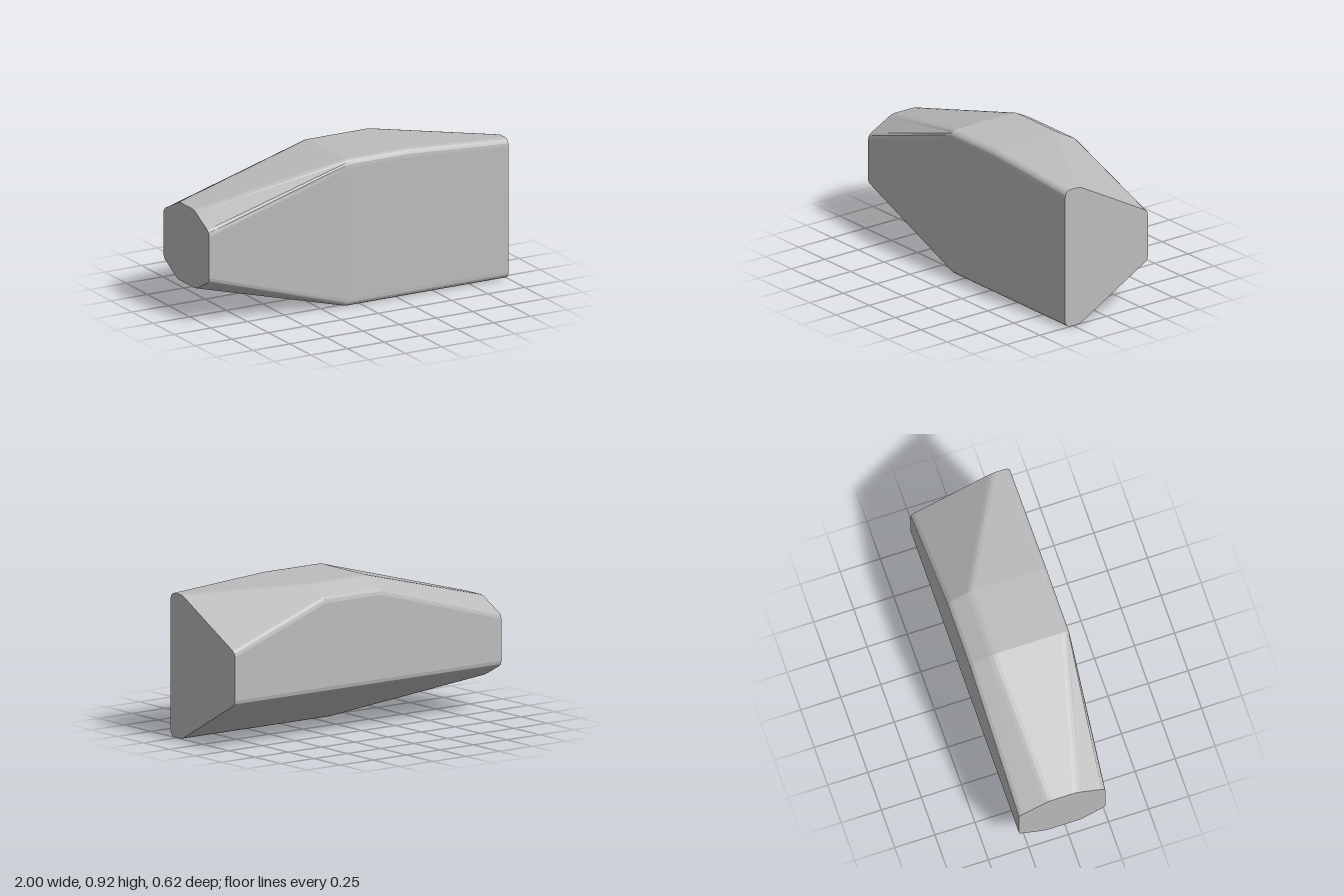
import * as THREE from 'three';

// Cross-sections along x: eight [z, y] corners, running top -> front -> bottom -> back,
// each corner softened by the distance r.
const LOWER_FULL = [[0.31, 0.025], [0.285, 0], [0.2, 0], [-0.31, 0.285]];
const SECTIONS = [
  { x: -1, corners: [[0.05, 0.68], [0.23, 0.585], [0.23, 0.28], [0.075, 0.195],
    [-0.14, 0.195], [-0.31, 0.285], [-0.31, 0.585], [-0.125, 0.68]] },
  { x: -0.1, corners: [[0.285, 0.915], [0.31, 0.89], ...LOWER_FULL, [-0.31, 0.84], [-0.17, 0.915]] },
  { x: 0.32, corners: [[0.285, 0.915], [0.31, 0.89], ...LOWER_FULL, [-0.31, 0.84], [-0.17, 0.915]] },
  { x: 1, corners: [[0.285, 0.87], [0.31, 0.845], ...LOWER_FULL, [-0.31, 0.595], [0.2, 0.87]] },
];

// Replace every corner by a short three-point arc.
function softRing({ x, corners }, r = 0.024) {
  const pts = corners.map(([z, y]) => new THREE.Vector3(x, y, z));
  const n = pts.length;
  return pts.flatMap((p, i) => {
    const toward = (q) => p.clone().lerp(q, Math.min(r / p.distanceTo(q), 0.3));
    const a = toward(pts[(i + n - 1) % n]);
    const b = toward(pts[(i + 1) % n]);
    const mid = a.clone().add(b).multiplyScalar(0.25).addScaledVector(p, 0.5);
    return [a, mid, b];
  });
}

function fromTriangles(points) {
  const geometry = new THREE.BufferGeometry().setFromPoints(points);
  geometry.computeVertexNormals();
  return geometry;
}

export function createModel() {
  const group = new THREE.Group();
  group.name = 'facetedBlock';
  const grey = new THREE.MeshStandardMaterial({ color: 0xbcbcbc, flatShading: true });
  grey.name = 'plain grey';

  const add = (name, points) => {
    const mesh = new THREE.Mesh(fromTriangles(points), grey);
    mesh.name = name;
    group.add(mesh);
  };

  const rings = SECTIONS.map((s) => softRing(s));
  const count = rings[0].length;

  // Outer skin between neighbouring sections
  const skin = [];
  for (let s = 0; s < rings.length - 1; s++) {
    const a = rings[s], b = rings[s + 1];
    for (let i = 0; i < count; i++) {
      const j = (i + 1) % count;
      skin.push(a[i], a[j], b[j], a[i], b[j], b[i]);
    }
  }
  add('bodyShell', skin);

  // Flat ends
  const cap = (ring, flip) => {
    const out = [];
    for (let i = 1; i < count - 1; i++) {
      out.push(ring[0], ...(flip ? [ring[i + 1], ring[i]] : [ring[i], ring[i + 1]]));
    }
    return out;
  };
  add('narrowEnd', cap(rings[0], true));
  add('wideEnd', cap(rings[rings.length - 1], false));

  return group;
}
